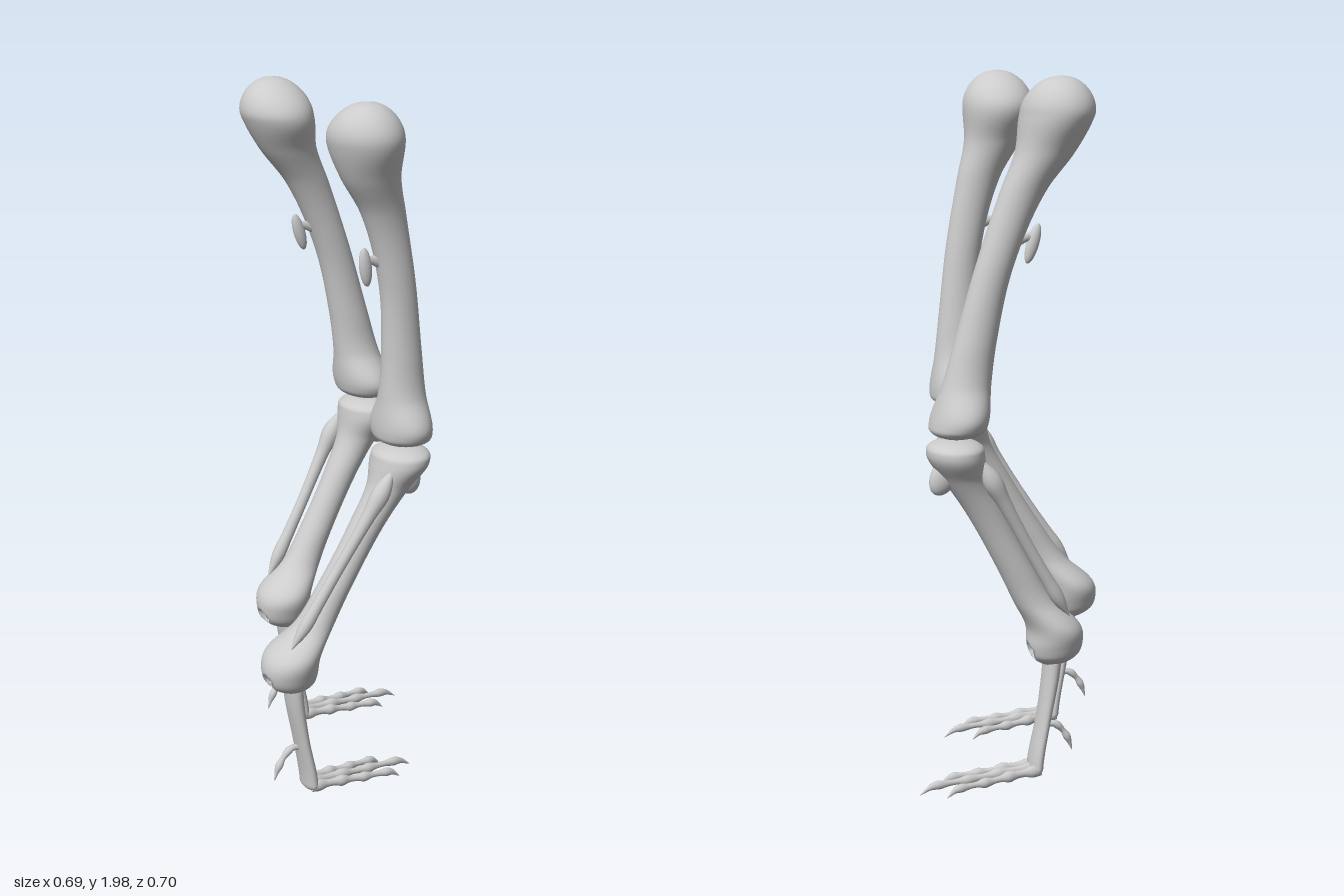
import * as THREE from 'three';
import { mergeVertices } from 'three/addons/utils/BufferGeometryUtils.js';

// Smooth interpolation through rows of [key, ...values]
function spline(rows) {
  const n = rows[0].length - 1;
  const f = new THREE.CubicInterpolant(rows.map(r => r[0]), rows.flatMap(r => r.slice(1)), n, new Float32Array(n));
  return k => Array.from(f.evaluate(k));
}

// Bone lofted upwards from rows of [y, x, halfX, z, halfZ], with rounded ends
function loft(rows, capBottom, capTop, segs = 56, steps = 110) {
  const at = spline(rows), y0 = rows[0][0], y1 = rows[rows.length - 1][0];
  const pos = [], index = [];
  const cap = (d, c) => (d < c ? Math.sqrt(Math.max(0, 1 - (1 - d / c) ** 2)) : 1);
  for (let i = 0; i <= steps; i++) {
    const u = i / steps;
    const t = 0.5 * u + 0.25 * (1 - Math.cos(Math.PI * u));
    const y = y0 + (y1 - y0) * t;
    const [x, a, z, b] = at(y);
    const k = Math.max(0.001, cap(y - y0, capBottom) * cap(y1 - y, capTop));
    for (let j = 0; j < segs; j++) {
      const w = (j / segs) * Math.PI * 2;
      pos.push(x + a * k * Math.cos(w), y, z + b * k * Math.sin(w));
      if (i < steps) {
        const p = i * segs + j, q = i * segs + (j + 1) % segs;
        index.push(p, p + segs, q, q, p + segs, q + segs);
      }
    }
  }
  const g = new THREE.BufferGeometry();
  g.setAttribute('position', new THREE.Float32BufferAttribute(pos, 3));
  g.setIndex(index);
  return g;
}

// Tube whose radius follows a list; flat squeezes it in z
function taper(points, radii, flat = 1, steps = 40, sides = 12) {
  const path = new THREE.CatmullRomCurve3(points.map(p => new THREE.Vector3(...p)));
  const g = new THREE.TubeGeometry(path, steps, 1, sides);
  const radius = spline(radii.map((r, i) => [i / (radii.length - 1), r]));
  const p = g.attributes.position, v = new THREE.Vector3();
  for (let i = 0; i < p.count; i++) {
    const t = Math.floor(i / (sides + 1)) / steps, c = path.getPointAt(t);
    v.fromBufferAttribute(p, i).sub(c).multiplyScalar(Math.max(0.0008, radius(t)[0]));
    v.z *= flat;
    v.add(c);
    p.setXYZ(i, v.x, v.y, v.z);
  }
  return g;
}

function ellipsoid(x, y, z, rx, ry, rz, tilt = 0) {
  return new THREE.SphereGeometry(1, 32, 20).scale(rx, ry, rz).rotateZ(tilt).translate(x, y, z);
}

// Press small pits into the back and front of the ankle
function pitAnkle(g) {
  const p = g.attributes.position;
  for (let i = 0; i < p.count; i++) {
    const x = p.getX(i), side = Math.sign(x + 0.262);
    const d = Math.hypot(p.getY(i) - 0.4, p.getZ(i) - 0.197);
    if (d < 0.024 && p.getY(i) < 0.5) p.setX(i, x - side * 0.045 * Math.min(1, 2 * (1 - d / 0.024)));
  }
  return g;
}

// Parts of the left leg
function legParts() {
  const parts = {
    femur: loft([
      [1.035, 0.092, 0.074, 0.213, 0.085], [1.09, 0.089, 0.077, 0.213, 0.107],
      [1.18, 0.086, 0.067, 0.219, 0.065], [1.3, 0.081, 0.058, 0.222, 0.051],
      [1.5, 0.062, 0.052, 0.226, 0.046], [1.7, 0.014, 0.063, 0.228, 0.054],
      [1.8, -0.028, 0.081, 0.232, 0.08], [1.89, -0.044, 0.098, 0.233, 0.115],
      [2.0, -0.05, 0.1, 0.25, 0.1]], 0.03, 0.105),
    femurProcess: taper([[0.02, 1.56, 0.225], [-0.015, 1.572, 0.225], [-0.036, 1.575, 0.225]], [0.02, 0.014, 0.01], 0.7),
    femurProcessTip: ellipsoid(-0.038, 1.556, 0.225, 0.018, 0.054, 0.014, 0.12),
    tibia: pitAnkle(loft([
      [0.355, -0.255, 0.055, 0.198, 0.05], [0.41, -0.263, 0.078, 0.198, 0.075],
      [0.47, -0.255, 0.077, 0.198, 0.088], [0.55, -0.187, 0.058, 0.203, 0.055],
      [0.65, -0.122, 0.051, 0.205, 0.046], [0.82, -0.014, 0.052, 0.207, 0.048],
      [0.92, 0.052, 0.062, 0.21, 0.064], [0.985, 0.085, 0.078, 0.211, 0.095],
      [1.035, 0.092, 0.074, 0.213, 0.088]], 0.04, 0.03)),
    tibiaCrest: ellipsoid(0.112, 0.935, 0.21, 0.04, 0.058, 0.026, 0.35),
    fibula: taper([[0.035, 0.985, 0.262], [-0.03, 0.885, 0.262], [-0.15, 0.7, 0.25], [-0.255, 0.545, 0.243], [-0.285, 0.503, 0.241]],
      [0.002, 0.026, 0.02, 0.017, 0.016, 0.016, 0.017, 0.018, 0.001], 1),
    metatarsus: loft([
      [0.035, -0.203, 0.02, 0.2, 0.042], [0.08, -0.207, 0.02, 0.2, 0.041],
      [0.2, -0.23, 0.019, 0.2, 0.037], [0.32, -0.25, 0.023, 0.2, 0.039],
      [0.39, -0.257, 0.024, 0.2, 0.042]], 0.02, 0.02, 32, 40),
    hallux: taper([[-0.228, 0.175, 0.2], [-0.262, 0.177, 0.2], [-0.288, 0.155, 0.2], [-0.306, 0.125, 0.2], [-0.318, 0.09, 0.2]],
      [0.011, 0.009, 0.011, 0.008, 0.011, 0.006, 0.001]),
  };
  // Knuckled toes ending in down-curved claws
  [['inner', -1, 0.27], ['middle', 0, 0.345], ['outer', 1, 0.28]].forEach(([name, s, len]) => {
    const pt = (t, y) => [-0.205 + len * t, y, 0.2 + s * (0.026 + 0.02 * t)];
    parts[name + 'Toe'] = taper([pt(-0.02, 0.052), pt(0.25, 0.05), pt(0.55, 0.043), pt(0.78, 0.04), pt(0.9, 0.036), pt(1, 0.016)],
      [0.016, 0.018, 0.012, 0.012, 0.017, 0.01, 0.01, 0.015, 0.009, 0.009, 0.013, 0.007, 0.001], 0.8, 52);
  });
  return parts;
}

// Forward swing of the right leg by height: none at the hip, most at the ankle
function swing(y) {
  if (y > 1.9) return 0;
  if (y > 1.035) return 0.147 * (1.9 - y) / 0.865;
  return 0.147 + 0.058 * Math.min(1, (1.035 - y) / 0.605);
}

// Mirror a part to the right side and swing it forward
function toRight(g) {
  const p = g.attributes.position, ix = g.index;
  for (let i = 0; i < p.count; i++) p.setXYZ(i, p.getX(i) + swing(p.getY(i)), p.getY(i), -p.getZ(i));
  for (let i = 0; i < ix.count; i += 3) {
    const a = ix.getX(i);
    ix.setX(i, ix.getX(i + 1));
    ix.setX(i + 1, a);
  }
  return g;
}

export function createModel() {
  const model = new THREE.Group();
  model.name = 'legBones';
  const material = new THREE.MeshStandardMaterial({ color: 0xcccccc, side: THREE.DoubleSide });
  for (const side of ['left', 'right']) {
    const leg = new THREE.Group();
    leg.name = side === 'left' ? 'frontLeg' : 'backLeg';
    for (const [name, part] of Object.entries(legParts())) {
      part.deleteAttribute('uv');
      part.deleteAttribute('normal');
      const g = mergeVertices(side === 'right' ? toRight(part) : part, 1e-5);
      g.computeVertexNormals();
      const mesh = new THREE.Mesh(g, material);
      mesh.name = name;
      leg.add(mesh);
    }
    model.add(leg);
  }
  return model;
}
